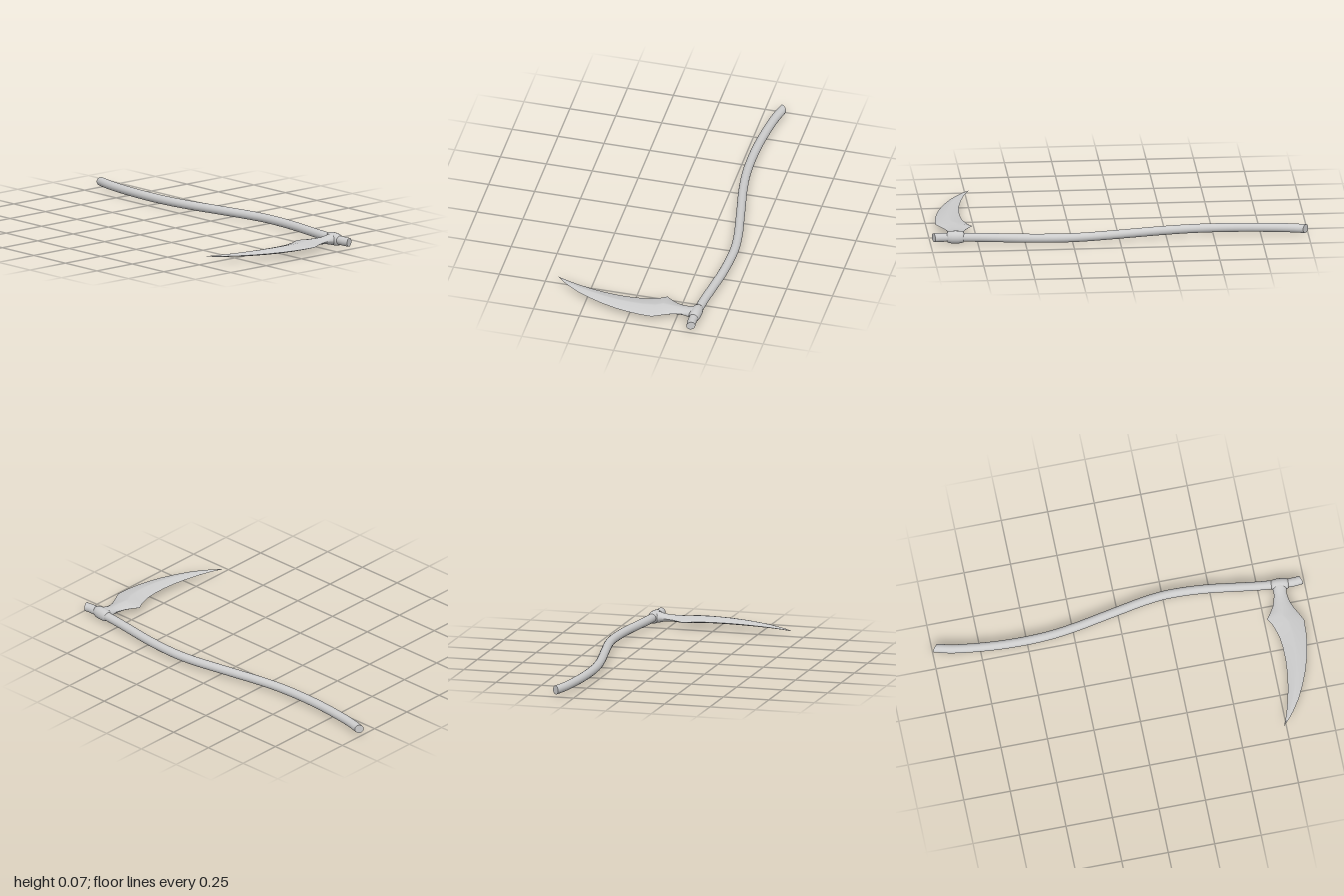
import * as THREE from 'three';

const MID = 0.036; // height of the flat centre plane
const material = new THREE.MeshStandardMaterial({ color: 0xcccccc });
const V = (x, y, z) => new THREE.Vector3(x, y, z);

// Skin a list of equal-length rings; closed joins the last point to the first.
function loft(rings, closed, flip) {
  const n = rings[0].length, index = [];
  const quads = closed ? n : n - 1;
  for (let i = 0; i < rings.length - 1; i++) {
    for (let j = 0; j < quads; j++) {
      const a = i * n + j, b = i * n + (j + 1) % n, c = a + n, d = b + n;
      if (flip) index.push(a, c, b, b, c, d);
      else index.push(a, b, c, b, d, c);
    }
  }
  const g = new THREE.BufferGeometry().setFromPoints(rings.flat());
  g.setIndex(index);
  g.computeVertexNormals();
  return g;
}

// Flat cap over a ring
function cap(ring, center, flip) {
  const n = ring.length, index = [];
  for (let j = 0; j < n; j++) {
    const k = (j + 1) % n;
    index.push(n, flip ? k : j, flip ? j : k);
  }
  const g = new THREE.BufferGeometry().setFromPoints([...ring, center]);
  g.setIndex(index);
  g.computeVertexNormals();
  return g;
}

function add(parent, name, geometry) {
  const mesh = new THREE.Mesh(geometry, material);
  mesh.name = name;
  parent.add(mesh);
  return mesh;
}

// S-curved wooden shaft with obliquely cut ends
function makeHandle() {
  const group = new THREE.Group();
  group.name = 'handle';
  const path = [
    [0.353, -0.985], [0.332, -0.9], [0.315, -0.78], [0.303, -0.64], [0.3, -0.5],
    [0.306, -0.37], [0.325, -0.23], [0.35, -0.1], [0.375, 0.03], [0.397, 0.15],
    [0.409, 0.26], [0.408, 0.37], [0.398, 0.5], [0.38, 0.63], [0.362, 0.76],
    [0.352, 0.87], [0.348, 0.94], [0.352, 0.983],
  ];
  const curve = new THREE.CatmullRomCurve3(path.map(([x, z]) => V(x, MID, z)));
  const steps = 64, sides = 20, r = 0.0235, rings = [];
  for (let i = 0; i <= steps; i++) {
    const p = curve.getPointAt(i / steps), t = curve.getTangentAt(i / steps);
    let side = V(t.z, 0, -t.x).multiplyScalar(r);
    if (i === 0) side = V(0.0185, 0, 0.015);
    if (i === steps) side = V(0.0225, 0, -0.008);
    rings.push(Array.from({ length: sides }, (_, j) => {
      const a = (j / sides) * Math.PI * 2;
      return p.clone().addScaledVector(side, Math.cos(a)).add(V(0, r * Math.sin(a), 0));
    }));
  }
  add(group, 'shaft', loft(rings, true));
  add(group, 'buttEnd', cap(rings[0], curve.getPoint(0), true));
  add(group, 'headEnd', cap(rings[steps], curve.getPoint(1), false));
  return group;
}

// Curved blade: lens sections that round off into the neck at the collar
function makeBlade() {
  const group = new THREE.Group();
  group.name = 'blade';
  // x, inner edge z, outer edge z, half thickness, section power (2 diamond, 1 ellipse)
  const sections = [
    [-0.435, 0.735, 0.736, 0.001, 1.6],
    [-0.4, 0.75, 0.77, 0.004, 1.6],
    [-0.36, 0.764, 0.802, 0.006, 1.6],
    [-0.3, 0.781, 0.841, 0.009, 1.6],
    [-0.23, 0.797, 0.876, 0.012, 1.6],
    [-0.15, 0.81, 0.908, 0.0145, 1.6],
    [-0.07, 0.816, 0.932, 0.0165, 1.6],
    [0.0, 0.815, 0.946, 0.0175, 1.6],
    [0.06, 0.809, 0.953, 0.0178, 1.6],
    [0.13, 0.788, 0.956, 0.018, 1.6],
    [0.17, 0.765, 0.936, 0.0185, 1.6],
    [0.2, 0.787, 0.92, 0.0185, 1.55],
    [0.235, 0.808, 0.905, 0.018, 1.4],
    [0.27, 0.82, 0.897, 0.018, 1.2],
    [0.3, 0.827, 0.895, 0.022, 1],
    [0.322, 0.826, 0.9, 0.028, 1],
    [0.345, 0.826, 0.906, 0.032, 1],
  ];
  const steps = 16;
  for (const face of [1, -1]) {
    const rings = sections.map(([x, inner, outer, h, e]) =>
      Array.from({ length: steps + 1 }, (_, j) => {
        const a = (j / steps) * Math.PI, c = Math.cos(a);
        const u = -Math.sign(c) * Math.abs(c) ** e;
        const y = j % steps === 0 ? 0 : Math.sin(a) ** e;
        return V(x, MID + face * h * y, (inner + outer) / 2 + (u * (outer - inner)) / 2);
      }));
    add(group, face > 0 ? 'bladeTop' : 'bladeUnderside', loft(rings, false, face < 0));
  }
  return group;
}

// Barrel-shaped socket around the shaft
function makeCollar(parent) {
  const profile = [[0.018, -0.046], [0.026, -0.045], [0.031, -0.034], [0.0335, -0.016],
    [0.034, 0], [0.0335, 0.016], [0.031, 0.034], [0.026, 0.045], [0.018, 0.046]];
  const g = new THREE.LatheGeometry(profile.map(([r, y]) => new THREE.Vector2(r, y)), 24);
  g.rotateX(Math.PI / 2);
  const collar = add(parent, 'collar', g);
  collar.position.set(0.35, MID, 0.868);
  collar.rotation.y = -0.07;
  collar.scale.x = 0.92;
}

export function createModel() {
  const model = new THREE.Group();
  model.name = 'scythe';
  model.add(makeHandle(), makeBlade());
  makeCollar(model);
  return model;
}
